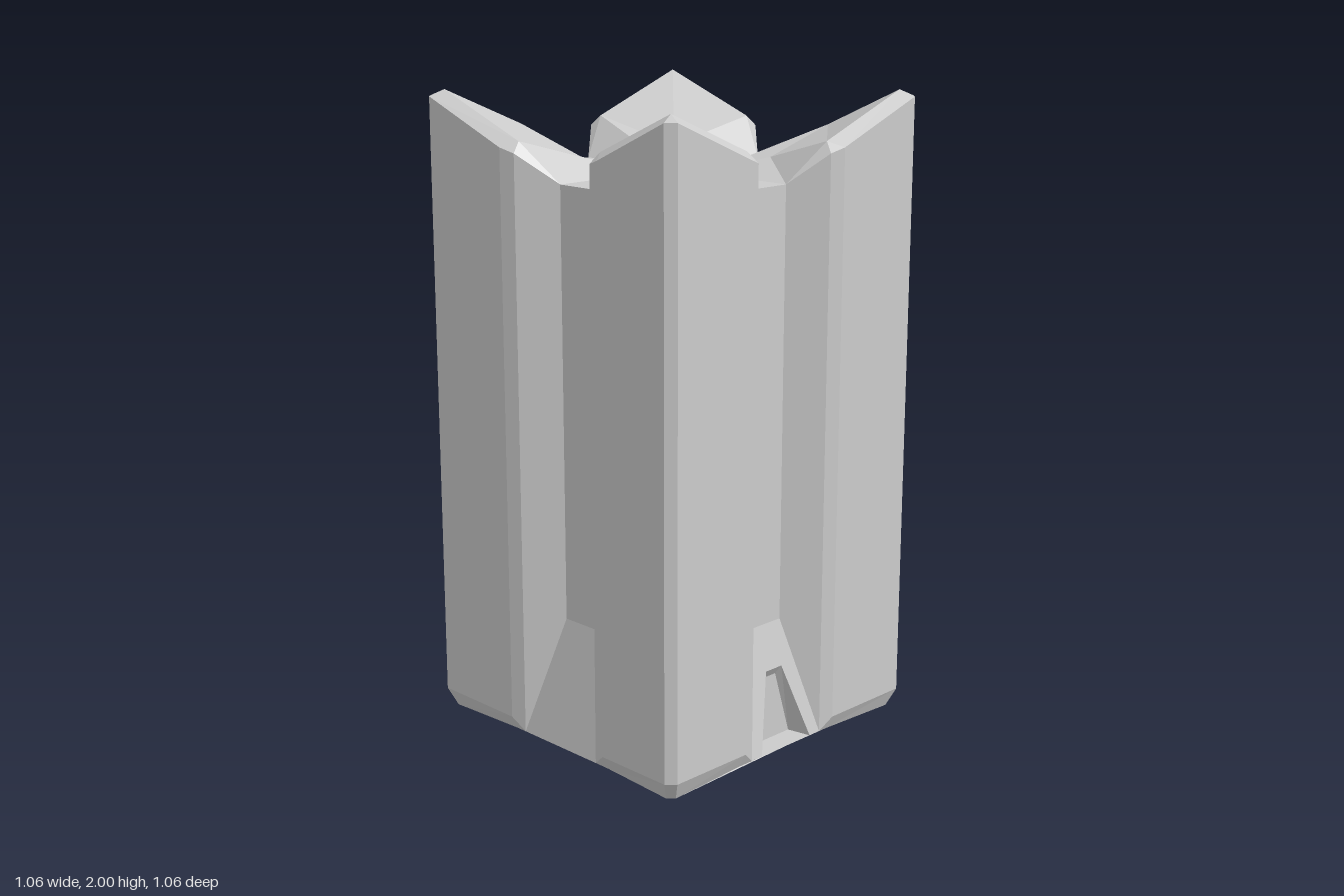
import * as THREE from 'three';

// Centre lines of the grooves, slightly off the block's own centre
const CX = -0.015, CZ = 0.03;

export function createModel() {
  const group = new THREE.Group();
  group.name = 'groovedTower';
  const material = new THREE.MeshStandardMaterial({ color: 0xcccccc, flatShading: true });
  const parts = {};

  // Adds a convex face as a fan of triangles to a named part
  function face(part, points, flip) {
    const list = parts[part] || (parts[part] = []);
    const p = flip ? [...points].reverse() : points;
    for (let i = 1; i < p.length - 1; i++) list.push(...p[0], ...p[i], ...p[i + 1]);
  }

  // Each quarter is the same set of faces, mirrored by the signs s (x) and t (z)
  function quarter(s, t, pillar) {
    const f = (part, ...pts) => face(part, pts, s * t < 0);
    // u, v: distance from the groove centre line; x, z: distance from the origin
    const zSide = (u, y, z) => [CX + s * u, y, t * z];
    const xSide = (x, y, v) => [s * x, y, CZ + t * v];
    const corner = (x, y, z) => [s * x, y, t * z];

    // Vertical outline from the z-side groove round the corner to the x-side groove
    const outline = [
      zSide(0.06, 0.4, 0.428), zSide(0.155, 0.02, 0.517), zSide(0.2, 0.06, 0.532),
      corner(0.505, 0.06, 0.532), corner(0.532, 0.06, 0.505),
      xSide(0.532, 0.06, 0.21), xSide(0.517, 0.02, 0.163), xSide(0.425, 0.4, 0.065),
    ];
    const topY = [1.75, 1.84, 1.855, 1.98, 1.98, 1.855, 1.84, 1.75];
    const top = outline.map((p, i) => [p[0], topY[i], p[2]]);
    for (let i = 0; i < 7; i++) f(pillar, outline[i], outline[i + 1], top[i + 1], top[i]);

    // Bevelled, sloping pillar top
    const [A, B, C, D, E, F, G, H] = top;
    const c = zSide(0.17, 1.872, 0.487), d = corner(0.487, 2, 0.487), g = xSide(0.487, 1.872, 0.175);
    const p = [CX + s * 0.2, 1.8, CZ + t * 0.207];
    const q = [CX + s * 0.06, 1.75, CZ + t * 0.065];
    f(pillar, C, D, d, c);
    f(pillar, D, E, d);
    f(pillar, E, F, g, d);
    f(pillar, c, d, g, p);
    f(pillar, A, c, p, q);
    f(pillar, q, p, g, H);
    f(pillar, A, B, c);
    f(pillar, B, C, c);
    f(pillar, H, g, G);
    f(pillar, G, g, F);

    // Cross-shaped channel floor
    f('topChannel', zSide(0, 1.75, 0.428), A, q, [CX, 1.75, CZ]);
    f('topChannel', [CX, 1.75, CZ], q, H, xSide(0.425, 1.75, 0));

    // Bevel round the foot and the underside
    const [a, b, c1, d1, e1, f1, g1, h] = outline;
    const c0 = zSide(0.2, 0.015, 0.51), d0 = corner(0.485, 0, 0.505);
    const e0 = corner(0.505, 0, 0.485), f0 = xSide(0.51, 0.015, 0.21);
    f('base', c0, d0, d1, c1);
    f('base', d0, e0, e1, d1);
    f('base', e0, f0, f1, e1);
    f('base', b, c0, c1);
    f('base', f0, g1, f1);
    const mz = zSide(0, 0.02, 0.517), mx = xSide(0.517, 0.02, 0);
    f('base', [CX, 0.01, CZ], mx, g1, f0, e0, d0, c0, b, mz);

    // Groove floor and the flare at its foot
    const az = zSide(0, 0.4, 0.428), hx = xSide(0.425, 0.4, 0);
    f('grooveFloor', az, a, A, zSide(0, 1.75, 0.428));
    f('grooveFloor', h, hx, xSide(0.425, 1.75, 0), H);
    f('grooveFlare', g1, mx, hx, h);
    if (t < 0) {
      f('grooveFlare', mz, b, a, az);
      return;
    }

    // The front flare is cut by a tapered doorway
    const m = zSide(0, 0.26, 0.461), k = zSide(0.035, 0.26, 0.461), kb = zSide(0.11, 0.02, 0.517);
    const mi = zSide(0, 0.23, 0.44), ki = zSide(0.03, 0.23, 0.44);
    const mb = zSide(0, 0.02, 0.44), kib = zSide(0.095, 0.02, 0.44);
    f('grooveFlare', m, k, a, az);
    f('grooveFlare', kb, b, a, k);
    f('doorway', m, mi, ki, k);
    f('doorway', mb, kib, ki, mi);
    f('doorway', kib, kb, k, ki);
    f('doorway', mz, kb, kib, mb);
  }

  quarter(1, 1, 'frontLeftPillar');
  quarter(-1, 1, 'frontRightPillar');
  quarter(1, -1, 'backLeftPillar');
  quarter(-1, -1, 'backRightPillar');

  for (const [name, positions] of Object.entries(parts)) {
    const geometry = new THREE.BufferGeometry();
    geometry.setAttribute('position', new THREE.Float32BufferAttribute(positions, 3));
    geometry.computeVertexNormals();
    const mesh = new THREE.Mesh(geometry, material);
    mesh.name = name;
    group.add(mesh);
  }
  return group;
}
